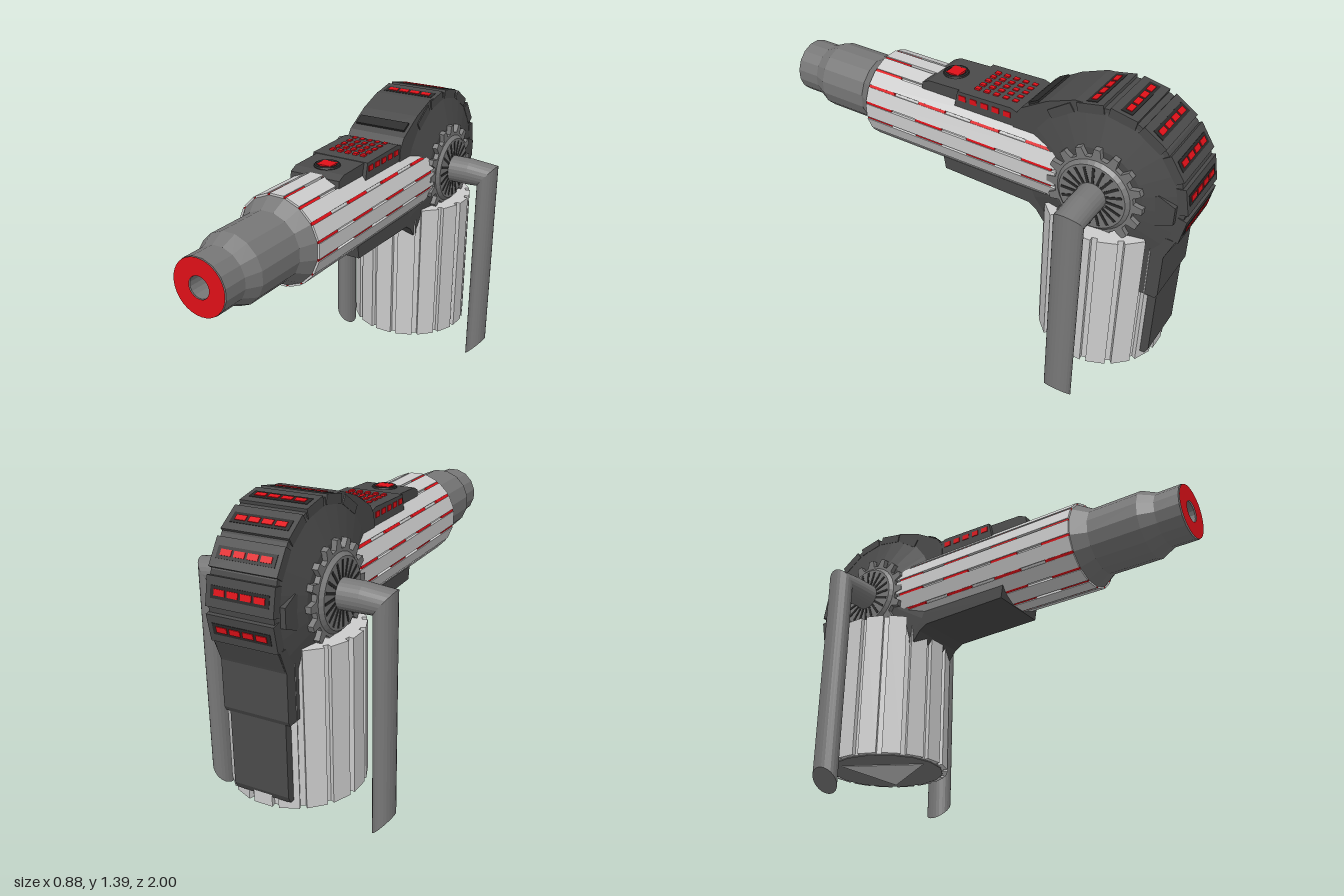
import * as THREE from 'three';

const mat = (color) => new THREE.MeshStandardMaterial({ color, flatShading: true });
const light = mat(0xcccccc), mid = mat(0x777777), dark = mat(0x4a4a4a), black = mat(0x2a2a2a), red = mat(0xe01018);
const AXIS_Y = 1.025, HUB_Z = -0.625;

function add(parent, name, geo, material, x = 0, y = 0, z = 0) {
  const m = new THREE.Mesh(geo, material);
  m.name = name;
  m.position.set(x, y, z);
  parent.add(m);
  return m;
}
const box = (w, h, d) => new THREE.BoxGeometry(w, h, d);
const shapeOf = (pts) => new THREE.Shape(pts.map(([a, b]) => new THREE.Vector2(a, b)));
const extrude = (pts, depth) => new THREE.ExtrudeGeometry(shapeOf(pts), { depth, bevelEnabled: false });

// Side profile given as [z, y], extruded evenly across x
function slab(pts, width) {
  const g = extrude(pts, width);
  g.rotateY(-Math.PI / 2);
  return g.translate(width / 2, 0, 0);
}

// Outline alternating between an outer and an inner radius: panels with grooves, or gear teeth
function toothed(n, R, r, outerHalf, innerHalf) {
  const pts = [], step = (Math.PI * 2) / n;
  const put = (rad, k) => pts.push([rad * Math.cos(k * step), rad * Math.sin(k * step)]);
  for (let k = 0; k < n; k++) {
    put(R, k - outerHalf);
    put(R, k + outerHalf);
    put(r, k + 0.5 - innerHalf);
    put(r, k + 0.5 + innerHalf);
  }
  return pts;
}

// Ring of thin strips around the barrel axis
function strips(parent, name, radius, w, z0, z1, material = red) {
  for (let k = 0; k < 16; k++) {
    const a = ((k + 0.5) * Math.PI) / 8;
    const s = add(parent, name, box(0.016, w, z1 - z0), material,
      radius * Math.cos(a), radius * Math.sin(a), (z0 + z1) / 2);
    s.rotation.z = a;
  }
}

function makeBarrel() {
  const g = new THREE.Group();
  g.name = 'barrel';
  g.position.y = AXIS_Y;
  add(g, 'barrelBody', extrude(toothed(16, 0.2, 0.186, 0.42, 0.07), 0.97), light, 0, 0, -0.45);
  const profile = [[0.195, 0.515], [0.152, 0.585], [0.152, 0.82], [0.122, 0.885], [0.122, 0.995],
    [0.047, 0.995], [0.047, 0.9], [0, 0.9]].map(([r, z]) => new THREE.Vector2(r, z));
  const nose = new THREE.LatheGeometry(profile, 16, Math.PI / 16);
  add(g, 'nose', nose.rotateX(Math.PI / 2), mid);
  add(g, 'muzzleRing', new THREE.RingGeometry(0.047, 0.12, 32), red, 0, 0, 1);
  for (let i = 0; i < 4; i++) strips(g, 'barrelLight', 0.188, 0.016, 0.38 - i * 0.27, 0.52 - i * 0.27);
  strips(g, 'noseLight', 0.143, 0.007, 0.59, 0.71);
  strips(g, 'tipLight', 0.113, 0.006, 0.88, 0.99);
  return g;
}

function makeHousing() {
  const g = new THREE.Group();
  g.name = 'housing';
  // Rounded rear body
  add(g, 'housingBody', slab([[-0.2, 1.0], [-0.22, 1.22], [-0.25, 1.265], [-0.37, 1.335], [-0.49, 1.38], [-0.63, 1.385],
    [-0.76, 1.36], [-0.88, 1.285], [-0.955, 1.17], [-0.985, 1.04], [-0.965, 0.89], [-0.92, 0.79],
    [-0.75, 0.7], [-0.4, 0.8]], 0.28), dark);
  // Armour plates around the rim with lit windows
  for (let i = 0; i < 7; i++) {
    const plate = new THREE.Group();
    plate.name = 'rimPlate';
    plate.position.set(0, AXIS_Y, HUB_Z);
    plate.rotation.x = ((1.5 - i) * Math.PI) / 8;
    add(plate, 'plate', box(0.29, 0.04, 0.115), dark, 0, 0.348, 0);
    add(plate, 'windowFrame', box(0.25, 0.006, 0.048), black, 0, 0.367, 0);
    for (let k = 0; k < 4; k++)
      add(plate, 'window', box(0.046, 0.006, 0.024), red, (k - 1.5) * 0.057, 0.37, 0);
    g.add(plate);
  }
  // Dark slot ahead of the plates
  add(g, 'slot', box(0.25, 0.012, 0.05), black, 0, 1.298, -0.3).rotation.x = 0.5;
  // Sloped cheeks, gears and spokes on both sides
  for (const s of [-1, 1]) {
    const cheek = new THREE.CylinderGeometry(0.2, 0.35, 0.04, 24);
    cheek.rotateZ((-s * Math.PI) / 2);
    add(g, 'cheek', cheek, dark, s * 0.158, AXIS_Y, HUB_Z);
    const gear = new THREE.Group();
    gear.name = 'gear';
    gear.position.set(s * 0.175, AXIS_Y, HUB_Z);
    const wheel = slab(toothed(16, 0.21, 0.172, 0.16, 0.2), 0.05);
    add(gear, 'gearWheel', wheel, mid);
    const face = new THREE.CylinderGeometry(0.145, 0.165, 0.02, 32).rotateZ((-s * Math.PI) / 2);
    add(gear, 'gearFace', face, mid, s * 0.03, 0, 0);
    for (let k = 0; k < 20; k++) {
      const a = (k * Math.PI) / 10;
      const spoke = add(gear, 'spokeSlot', box(0.006, 0.07, 0.012), black,
        s * 0.039, 0.1 * Math.cos(a), 0.1 * Math.sin(a));
      spoke.rotation.x = a;
    }
    g.add(gear);
  }
  // Latch pointing backwards on each side
  add(g, 'sideLatch', slab([[-0.78, 1.1], [-0.84, 1.08], [-0.88, 1.1], [-0.95, 1.07], [-0.95, 0.99],
    [-0.88, 0.96], [-0.84, 0.98], [-0.78, 0.96]], 0.33), dark);
  // Bracket under the barrel
  add(g, 'underBracket', slab([[0.14, 0.885], [0.13, 0.825], [-0.3, 0.815], [-0.34, 0.79], [-0.375, 0.745],
    [-0.44, 0.75], [-0.44, 0.885]], 0.28), dark);
  // Two-step strap down the back
  add(g, 'upperStrap', slab([[-0.84, 0.9], [-0.965, 0.9], [-0.925, 0.8], [-0.925, 0.6], [-0.915, 0.58], [-0.84, 0.58]], 0.29), dark);
  add(g, 'lowerStrap', slab([[-0.84, 0.6], [-0.915, 0.6], [-0.915, 0.26], [-0.9, 0.23], [-0.84, 0.23]], 0.25), dark);
  return g;
}

function makeTopPanel() {
  const g = new THREE.Group();
  g.name = 'controlPanel';
  add(g, 'frontBlock', slab([[0.265, 1.15], [0.255, 1.215], [0.22, 1.232], [0.05, 1.238], [0.05, 1.15]], 0.24), dark);
  add(g, 'rearBlock', slab([[0.08, 1.15], [0.06, 1.24], [-0.2, 1.247], [-0.25, 1.23], [-0.25, 1.15]], 0.275), dark);
  const ring = new THREE.TorusGeometry(0.047, 0.01, 8, 24).rotateX(Math.PI / 2);
  add(g, 'buttonRing', ring, black, 0, 1.235, 0.16);
  add(g, 'button', box(0.068, 0.016, 0.062), red, 0, 1.237, 0.16);
  for (let i = 0; i < 5; i++) {
    for (let j = 0; j < 5; j++)
      add(g, 'panelLight', box(0.02, 0.008, 0.024), red, (i - 2) * 0.039, 1.246, -0.005 - j * 0.046);
    for (const s of [-1, 1])
      add(g, 'sideLight', box(0.006, 0.024, 0.034), red, s * 0.138, 1.213, 0.035 - i * 0.055);
  }
  return g;
}

function makeDrum() {
  const g = new THREE.Group();
  g.name = 'drum';
  g.position.set(0, 0.19, HUB_Z);
  const body = extrude(toothed(16, 0.285, 0.264, 0.38, 0.11), 0.68).rotateX(-Math.PI / 2);
  add(g, 'drumBody', body, light);
  add(g, 'drumCap', new THREE.CylinderGeometry(0.262, 0.262, 0.006, 16), mid, 0, -0.001, 0);
  add(g, 'capTriangle', new THREE.CylinderGeometry(0.22, 0.22, 0.008, 3), light, 0, -0.003, 0);
  return g;
}

// Mitred pipe arm built from tilted elliptical rings: [top x, top y, bottom x, bottom y]
function makeArm(s, endLift) {
  const rings = [[0.14, 1.088, 0.14, 0.962], [0.31, 1.088, 0.31, 0.962], [0.44, 1.075, 0.35, 0.965],
    [0.44, 0.1 + endLift, 0.35, 0.003 + endLift]];
  const n = 24, pos = [], idx = [];
  for (const [tx, ty, bx, by] of rings) {
    for (let k = 0; k < n; k++) {
      const a = (k / n) * Math.PI * 2, c = (1 + Math.cos(a)) / 2;
      pos.push(s * (bx + (tx - bx) * c), by + (ty - by) * c, HUB_Z + 0.063 * Math.sin(a));
    }
  }
  const face = (a, b, c) => (s > 0 ? idx.push(a, b, c) : idx.push(a, c, b));
  for (let r = 0; r < rings.length - 1; r++) {
    for (let k = 0; k < n; k++) {
      const a = r * n + k, b = r * n + ((k + 1) % n);
      face(a, b, a + n);
      face(b, b + n, a + n);
    }
  }
  const last = (rings.length - 1) * n;
  for (let k = 1; k < n - 1; k++) face(last, last + k, last + k + 1);
  const geo = new THREE.BufferGeometry();
  geo.setAttribute('position', new THREE.Float32BufferAttribute(pos, 3));
  geo.setIndex(idx);
  geo.computeVertexNormals();
  const m = mid.clone();
  m.side = THREE.DoubleSide;
  const arm = new THREE.Mesh(geo, m);
  arm.name = s > 0 ? 'leftArm' : 'rightArm';
  return arm;
}

export function createModel() {
  const model = new THREE.Group();
  model.name = 'rotaryTool';
  model.add(makeBarrel(), makeHousing(), makeTopPanel(), makeDrum(), makeArm(1, 0.032), makeArm(-1, 0));
  return model;
}
